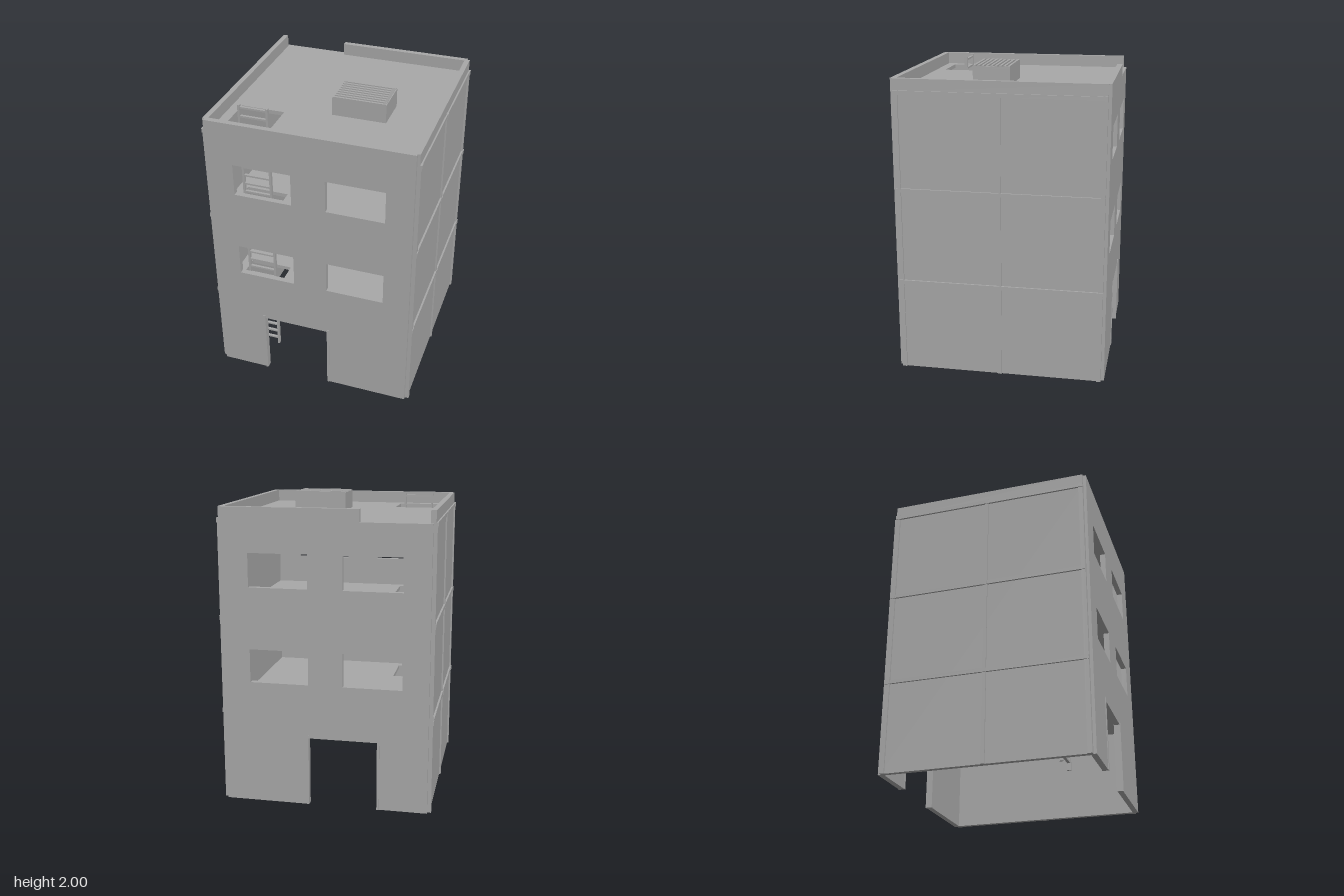
import * as THREE from 'three';

export function createModel() {
  const model = new THREE.Group();
  model.name = 'building';
  const grey = new THREE.MeshStandardMaterial({ color: 0xa8a8a8 });
  grey.name = 'concrete grey';

  const add = (geometry, name, parent = model) => {
    const mesh = new THREE.Mesh(geometry, grey);
    mesh.name = name;
    parent.add(mesh);
    return mesh;
  };
  // Box given by its lower and upper limits on each axis
  const box = (name, x0, x1, y0, y1, z0, z1, parent) =>
    add(new THREE.BoxGeometry(x1 - x0, y1 - y0, z1 - z0), name, parent)
      .position.set((x0 + x1) / 2, (y0 + y1) / 2, (z0 + z1) / 2);
  const rectHole = (x0, x1, y0, y1) => new THREE.Path([
    new THREE.Vector2(x0, y0), new THREE.Vector2(x0, y1),
    new THREE.Vector2(x1, y1), new THREE.Vector2(x1, y0)]);

  const OUT = 0.69, IN = 0.653, END = 0.67;
  const ROOF = 1.872, TOP = 1.953;
  const DOOR = [-0.34, 0.11], DOOR_H = 0.46;

  // Front and back walls with a doorway and four windows each
  const wall = new THREE.Shape([
    [-END, 0], [DOOR[0], 0], [DOOR[0], DOOR_H], [DOOR[1], DOOR_H],
    [DOOR[1], 0], [END, 0], [END, ROOF], [-END, ROOF],
  ].map(([x, y]) => new THREE.Vector2(x, y)));
  for (const sill of [0.82, 1.445])
    for (const x of [-0.5, 0.11])
      wall.holes.push(rectHole(x, x + 0.385, sill, sill + 0.22));
  for (const [name, z] of [['frontWall', IN], ['backWall', -OUT]])
    add(new THREE.ExtrudeGeometry(wall, { depth: OUT - IN, bevelEnabled: false }), name)
      .position.z = z;

  // Door jambs standing slightly proud of the walls
  for (const s of [1, -1])
    for (const x of [DOOR[0] - 0.016, DOOR[1]]) {
      const a = s * (IN - 0.003), b = s * 0.695;
      box('doorJamb', x, x + 0.016, 0, 0.48, Math.min(a, b), Math.max(a, b));
    }

  // Side walls with pilasters and floor beams framing six panels
  for (const s of [1, -1]) {
    const side = new THREE.Group();
    side.name = s > 0 ? 'leftSide' : 'rightSide';
    const slab = (name, x0, x1, y0, y1, z0, z1) =>
      box(name, Math.min(s * x0, s * x1), Math.max(s * x0, s * x1), y0, y1, z0, z1, side);
    slab('sideWall', IN, 0.685, 0, ROOF, -END, END);
    slab('sideParapet', IN, 0.687, ROOF, TOP, -END, END);
    for (const [z, w] of [[-0.655, 0.015], [0, 0.012], [0.655, 0.015]]) {
      slab('pilaster', 0.68, 0.695, 0, 1.88, z - w, z + w);
      for (const y of [0.61, 1.235, 1.865])
        slab('beamJoint', 0.68, 0.7, y - 0.015, y + 0.015, z - w, z + w);
    }
    for (const y of [0.61, 1.235, 1.865])
      for (const z of [-0.64, 0.012])
        slab('floorBeam', 0.68, 0.697, y - 0.013, y + 0.013, z, z + 0.628);
    model.add(side);
  }

  // Front parapet, and back parapet with an open stretch at one end
  box('frontParapet', -END, END, ROOF, TOP, IN, OUT);
  box('backParapet', -0.22, END, ROOF, TOP, -OUT, -IN);

  // Two floors and the roof, each with a square ladder hatch
  const floor = new THREE.Shape([[-1, -1], [1, -1], [1, 1], [-1, 1]]
    .map(([x, y]) => new THREE.Vector2(x * 0.66, y * 0.66)));
  floor.holes.push(rectHole(-0.59, -0.3, -0.59, -0.3));
  for (const [name, y] of [['firstFloor', 0.623], ['secondFloor', 1.248], ['roof', ROOF]]) {
    const mesh = add(new THREE.ExtrudeGeometry(floor, { depth: 0.026, bevelEnabled: false }), name);
    mesh.rotation.x = -Math.PI / 2;
    mesh.position.y = y - 0.026;
  }

  // Ladder running through all the hatches
  const ladder = new THREE.Group();
  ladder.name = 'ladder';
  for (const x of [-0.55, -0.36])
    box('ladderRail', x, x + 0.014, 0.02, 1.96, 0.435, 0.459, ladder);
  for (let i = 0; i < 31; i++) {
    const y = 0.07 + i * 0.0624;
    box('ladderRung', -0.54, -0.355, y - 0.006, y + 0.006, 0.438, 0.456, ladder);
  }
  model.add(ladder);

  // Rooftop vent unit with a slatted top
  const vent = new THREE.Group();
  vent.name = 'roofVent';
  box('ventBody', 0, 0.355, ROOF - 0.005, 1.98, -0.01, 0.235, vent);
  for (const x of [0, 0.343])
    box('ventRim', x, x + 0.012, 1.98, 1.995, -0.01, 0.235, vent);
  for (let i = 0; i < 9; i++) {
    const z = -0.01 + i * 0.0288;
    box('ventSlat', 0.006, 0.349, 1.98, 2, z, z + 0.0146, vent);
  }
  model.add(vent);

  return model;
}
